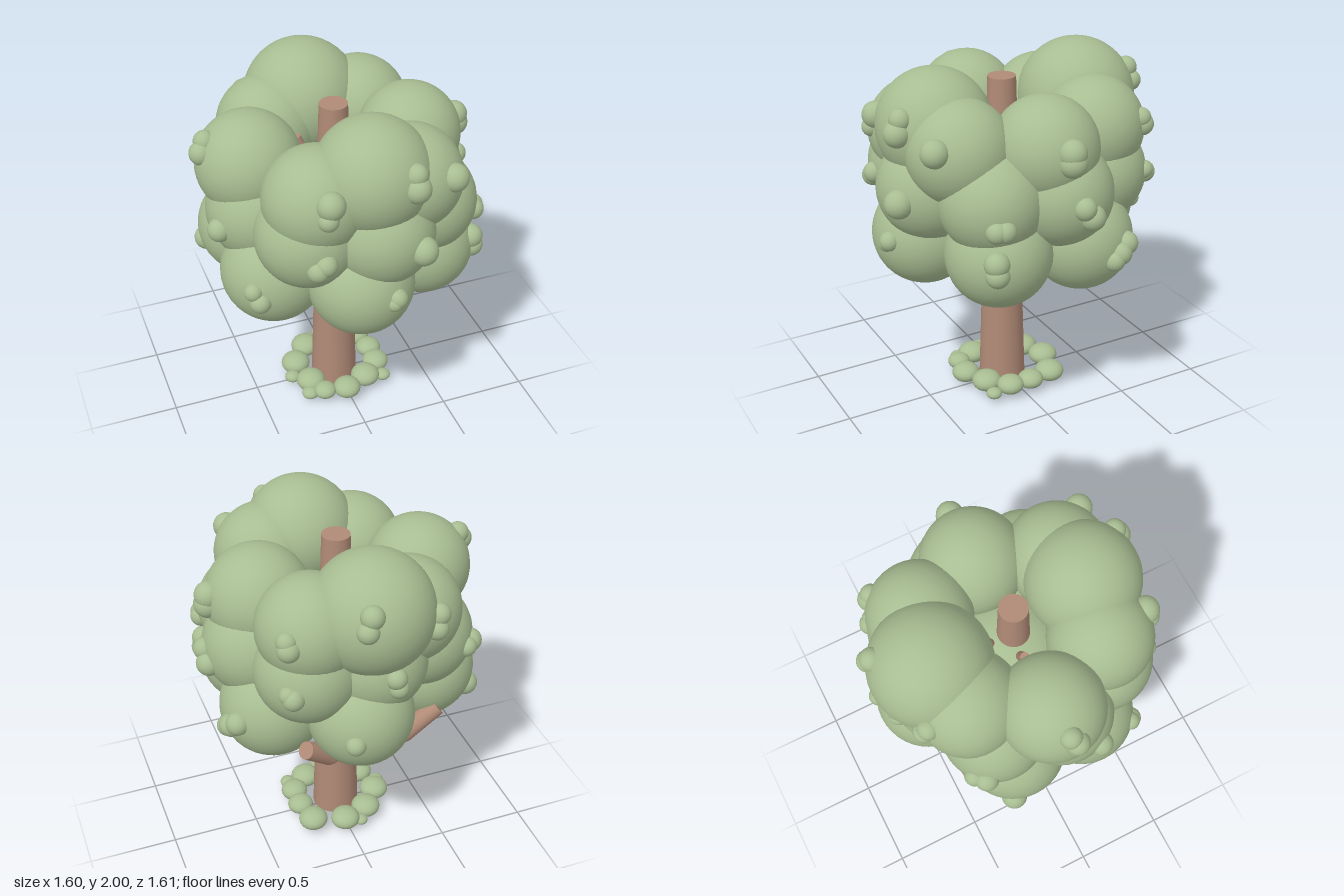
import * as THREE from 'three';

const leafMat = new THREE.MeshStandardMaterial({ color: 0xa8bd92 });
const barkMat = new THREE.MeshStandardMaterial({ color: 0xb08a76 });
const ball = new THREE.SphereGeometry(1, 40, 28);
const smallBall = new THREE.SphereGeometry(1, 20, 14);
const V = (x, y, z) => new THREE.Vector3(x, y, z);
const RAD = Math.PI / 180;
const CX = -0.015, CZ = 0.015; // trunk axis

export function createModel() {
  const tree = new THREE.Group();
  tree.name = 'tree';

  const group = (name) => {
    const g = new THREE.Group();
    g.name = name;
    tree.add(g);
    return g;
  };
  const add = (parent, geo, mat, name, pos) => {
    const m = new THREE.Mesh(geo, mat);
    m.name = name;
    m.position.copy(pos);
    parent.add(m);
    return m;
  };

  // Tapered trunk, rising through the middle of the crown
  add(tree, new THREE.CylinderGeometry(0.077, 0.135, 1.86, 40), barkMat, 'trunk', V(CX, 0.93, CZ));

  // Branches: tapered limbs with rounded joints
  const branches = group('branches');
  const limb = (points, r0, r1) => {
    const n = points.length - 1;
    for (let i = 0; i < n; i++) {
      const a = points[i], b = points[i + 1], d = b.clone().sub(a);
      const ra = r0 + (r1 - r0) * i / n, rb = r0 + (r1 - r0) * (i + 1) / n;
      const m = add(branches, new THREE.CylinderGeometry(rb, ra, d.length(), 20), barkMat, 'branch',
        a.clone().add(b).multiplyScalar(0.5));
      m.quaternion.setFromUnitVectors(V(0, 1, 0), d.normalize());
      if (i > 0) add(branches, smallBall, barkMat, 'branchJoint', a).scale.setScalar(ra);
    }
  };
  const root = V(CX, 0.72, CZ);
  limb([root, V(0.21, 0.82, -0.48), V(0.36, 0.935, -0.54)], 0.075, 0.048);
  limb([root, V(-0.24, 0.82, -0.45), V(-0.43, 0.95, -0.46)], 0.07, 0.047);
  limb([root, V(-0.02, 0.88, 0.38), V(0, 0.98, 0.5)], 0.072, 0.045);
  // Thin upper branches reaching into the crown
  for (const [x, y, z] of [[-0.21, 1.68, -0.02], [-0.015, 1.63, -0.16], [0.18, 1.64, 0.05]])
    limb([V(CX, 1.2, CZ), V(x, y, z)], 0.032, 0.024);

  // Crown: three rings of leaf clumps around a core, [x, y, z, radius]
  const clumps = [
    [0.035, 1.672, 0.445, 0.309], [-0.03, 1.672, -0.46, 0.328],
    [-0.48, 1.59, -0.01, 0.285], [0.425, 1.59, 0, 0.285],
    [0.275, 1.6, -0.38, 0.283], [0.255, 1.59, 0.41, 0.283],
    [-0.25, 1.56, 0.4, 0.283], [-0.265, 1.58, -0.37, 0.283],
  ];
  [0.5, 0.495, 0.475, 0.485, 0.43, 0.475, 0.46, 0.485].forEach((d, i) => {
    const a = (82 - 45 * i) * RAD;
    clumps.push([d * Math.cos(a), 1.35, d * Math.sin(a), 0.285]);
  });
  for (const [angle, y] of [[94, 1.045], [33, 1.045], [-27, 1.045], [-86, 1.065], [-155, 1.07], [153, 1.045]]) {
    const a = angle * RAD;
    clumps.push([0.485 * Math.cos(a), y, 0.485 * Math.sin(a), 0.288]);
  }
  const crown = group('crown');
  for (const [x, y, z, r] of clumps) add(crown, ball, leafMat, 'leafClump', V(x, y, z)).scale.setScalar(r);
  add(crown, ball, leafMat, 'crownCore', V(0, 1.2, 0)).scale.setScalar(0.36);

  // Point just under the outermost clump surface along a ray from o in direction d
  const surface = (o, d) => {
    let best = 0;
    for (const [x, y, z, r] of clumps) {
      const c = V(x, y, z).sub(o), t = c.dot(d), h = r * r - (c.lengthSq() - t * t);
      if (h > 0) best = Math.max(best, t + Math.sqrt(h));
    }
    return o.clone().addScaledVector(d, best - 0.012);
  };
  const tufts = group('leafTufts');
  const tuft = (o, d, r) => add(tufts, smallBall, leafMat, 'leafTuft', surface(o, d)).scale.setScalar(r);

  // Front tufts [x, y, radius]
  for (const [x, y, r] of [
    [-0.26, 1.67, 0.075], [-0.28, 1.6, 0.055], [0.165, 1.78, 0.06], [0.165, 1.71, 0.073],
    [0.41, 1.67, 0.075], [-0.29, 1.33, 0.06], [-0.33, 1.3, 0.06], [0.205, 1.345, 0.078],
    [0.07, 1.08, 0.055], [0.05, 1.06, 0.045], [-0.61, 1.08, 0.05], [-0.58, 1.02, 0.058],
  ]) tuft(V(x, y, 0), V(0, 0, 1), r);

  // Left side tufts [z, y, radius]
  for (const [z, y, r] of [
    [0, 1.65, 0.075], [0, 1.6, 0.075], [0.4, 1.29, 0.06], [0.36, 1.29, 0.06],
    [-0.05, 1.36, 0.062], [-0.1, 1.3, 0.07], [0.4, 1.11, 0.068], [0.4, 1.05, 0.065],
    [-0.27, 1.0, 0.06], [-0.31, 1.03, 0.065], [-0.36, 1.07, 0.065],
  ]) tuft(V(0, y, z), V(1, 0, 0), r);

  // Back and right side tufts [angle about the trunk, y, radius]
  for (const [a, y, r] of [
    [-51, 1.67, 0.055], [-52, 1.63, 0.062], [-52, 1.37, 0.05], [-54, 1.35, 0.06],
    [-78, 1.06, 0.055], [-84, 1.82, 0.062], [-82, 1.75, 0.058], [-96, 1.4, 0.058],
    [-97, 1.34, 0.055], [-118, 1.68, 0.06], [-116, 1.61, 0.06], [-139, 1.34, 0.055],
    [-144, 1.34, 0.065], [-155, 0.95, 0.07], [-178, 1.75, 0.06], [-180, 1.7, 0.065],
    [166, 1.33, 0.065],
  ]) tuft(V(0, y, 0), V(Math.cos(a * RAD), 0, Math.sin(a * RAD)), r);

  // Low flattened shrubs around the foot of the trunk [x, z, radius]
  const shrubs = group('baseShrubs');
  for (const [x, z, r] of [
    [0.12, 0.19, 0.085], [0.225, 0.09, 0.078], [-0.02, 0.255, 0.08], [-0.15, 0.235, 0.065],
    [-0.2, 0.12, 0.085], [-0.235, -0.06, 0.085], [-0.13, -0.19, 0.085], [0.23, -0.04, 0.075],
    [0.2, -0.185, 0.085], [0.02, -0.245, 0.085],
    [0.23, 0.2, 0.045], [-0.23, 0.2, 0.05], [-0.07, -0.27, 0.04], [-0.285, 0.03, 0.045],
  ]) add(shrubs, smallBall, leafMat, 'shrub', V(x, r > 0.06 ? 0.075 : 0.05, z)).scale.set(r, r * 0.68, r);

  return tree;
}
